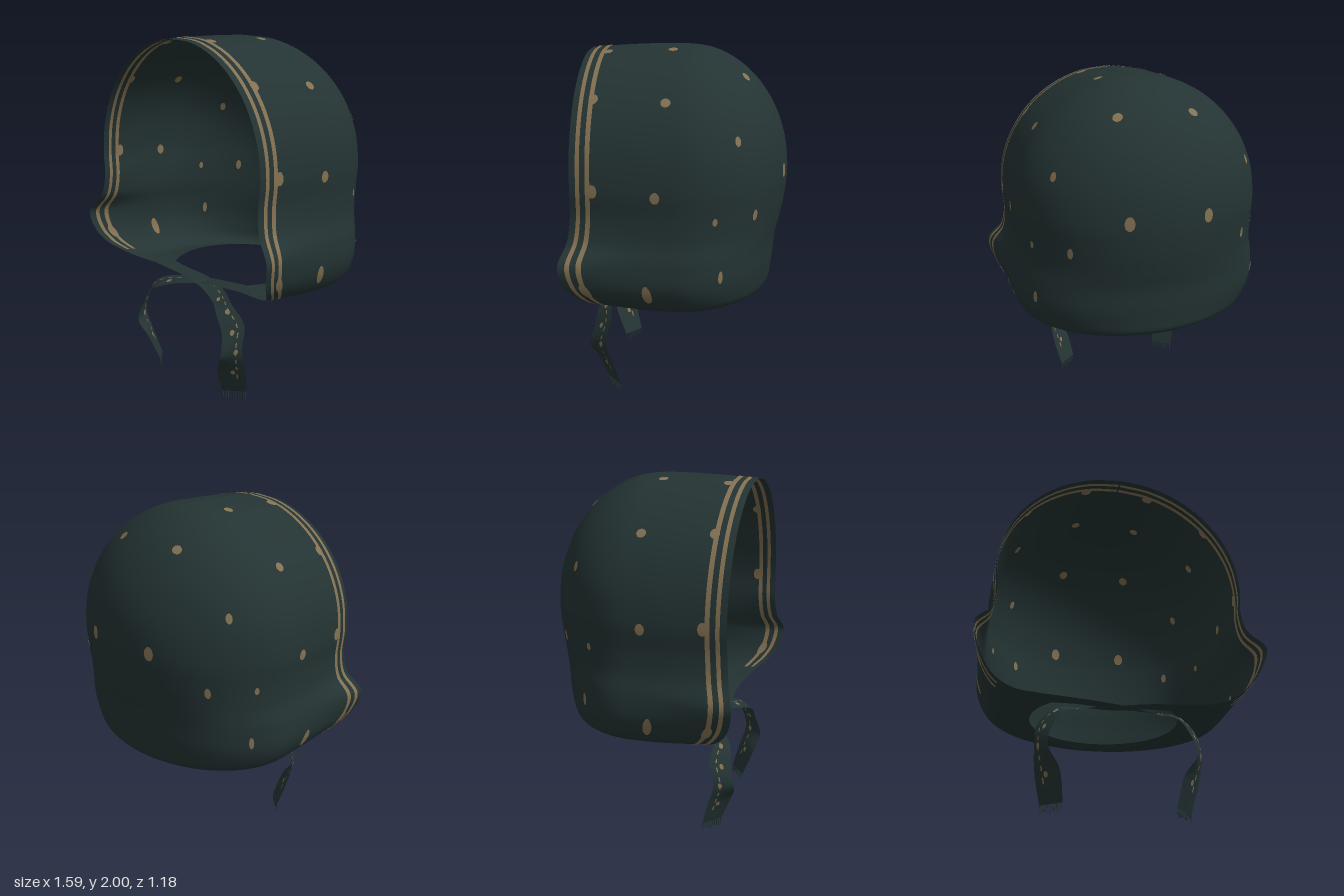
import * as THREE from 'three';
import { mergeVertices, mergeGeometries } from 'three/addons/utils/BufferGeometryUtils.js';

const V = (x, y, z) => new THREE.Vector3(x, y, z);
const lerp = THREE.MathUtils.lerp;

export function createModel() {
  const cloth = new THREE.MeshStandardMaterial({ color: 0x243333, side: THREE.DoubleSide });
  cloth.name = 'dark teal cloth';
  const tan = new THREE.MeshStandardMaterial({ color: 0x837152, side: THREE.DoubleSide });
  tan.name = 'tan print';
  const group = new THREE.Group();
  group.name = 'bonnet';

  const add = (name, geo, mat) => {
    const mesh = new THREE.Mesh(geo, mat);
    mesh.name = name;
    group.add(mesh);
  };

  // Grid of points from a rule f(i/n, j/m)
  const grid = (f, n, m) => {
    const pos = [], idx = [];
    for (let i = 0; i <= n; i++)
      for (let j = 0; j <= m; j++) pos.push(...f(i / n, j / m).toArray());
    for (let i = 0; i < n; i++)
      for (let j = 0; j < m; j++) {
        const a = i * (m + 1) + j, b = a + m + 1;
        idx.push(a, b, b + 1, a, b + 1, a + 1);
      }
    let g = new THREE.BufferGeometry();
    g.setAttribute('position', new THREE.Float32BufferAttribute(pos, 3));
    g.setIndex(idx);
    g = mergeVertices(g, 1e-5);
    g.computeVertexNormals();
    return g;
  };

  // Surface derivatives and a point lifted off the surface
  const slopes = (f, u, v) => {
    const e = 1e-3;
    return [f(u + e, v).sub(f(u - e, v)).divideScalar(2 * e), f(u, v + e).sub(f(u, v - e)).divideScalar(2 * e)];
  };
  const lifted = (f, u, v, off) => {
    const [du, dv] = slopes(f, u, v);
    return f(u, v).addScaledVector(du.cross(dv).normalize(), off);
  };

  // Printed patches and dots, laid on both faces of a cloth surface
  const patch = (f, u0, u1, v0, v1, n, m, off = 0.004) => [off, -off].map(o =>
    grid((a, b) => lifted(f, lerp(u0, u1, a), lerp(v0, v1, b), o), n, m));
  const dot = (f, u, v, ru, rv, off = 0.004) => {
    const [du, dv] = slopes(f, u, v);
    const su = ru / du.length(), sv = rv / dv.length();
    return [off, -off].map(o => grid((r, a) =>
      lifted(f, u + su * r * Math.cos(a * 2 * Math.PI), v + sv * r * Math.sin(a * 2 * Math.PI), o), 2, 14));
  };

  // Hood profile: mid-side (half width, height, back depth) and front edge (half width, height, front depth)
  const side = [], front = [];
  for (let i = 0; i < 7; i++) {
    const a = i * Math.PI / 12, s = Math.sin(a), c = Math.cos(a);
    side.push(V(0.712 * s, 1.3 + 0.7 * c, -0.59 * s));
    front.push(V(0.69 * s, 1.3 + 0.675 * c, 0.535));
  }
  [
    [0.705, 1.15, -0.578, 0.68, 1.15, 0.54],
    [0.71, 1.03, -0.555, 0.705, 1.03, 0.555],
    [0.735, 0.92, -0.53, 0.792, 0.92, 0.59],
    [0.74, 0.8, -0.52, 0.765, 0.81, 0.57],
    [0.715, 0.72, -0.51, 0.72, 0.73, 0.52],
    [0.67, 0.655, -0.5, 0.66, 0.68, 0.46],
    [0.6, 0.622, -0.465, 0.56, 0.645, 0.41],
    [0.5, 0.63, -0.42, 0.4, 0.635, 0.385],
    [0.43, 0.645, -0.39, 0.26, 0.63, 0.36],
  ].forEach(r => {
    side.push(V(r[0], r[1], r[2]));
    front.push(V(r[3], r[4], r[5]));
  });
  const rows = side.length - 1;
  const sideCurve = new THREE.CatmullRomCurve3(side);
  const frontCurve = new THREE.CatmullRomCurve3(front);

  // u: -1 and 1 are the front edges, 0 the middle of the back; v: 0 crown, 1 inner hem
  const hood = (u, v) => {
    const vv = THREE.MathUtils.clamp(v, 0, 1);
    const s = sideCurve.getPoint(vv), a = Math.abs(u), sign = u < 0 ? -1 : 1;
    if (a < 0.6) {
      const t = a / 0.6 * Math.PI / 2;
      return V(sign * s.x * Math.sin(t), s.y, s.z * Math.cos(t));
    }
    const t = (a - 0.6) / 0.4, f = frontCurve.getPoint(vv);
    return V(sign * lerp(s.x, f.x, t * t), lerp(s.y, f.y, t * t), f.z * t);
  };
  add('hood', grid((a, b) => hood(a * 2 - 1, b), 100, 90), cloth);

  // Two stripes following the front edge
  const stripes = [];
  for (const sgn of [-1, 1])
    for (const [d0, d1] of [[0.034, 0.056], [0.085, 0.11]])
      stripes.push(...patch(hood, sgn * (1 - 0.4 * d0 / 0.54), sgn * (1 - 0.4 * d1 / 0.54), 0.002, 12.2 / rows, 1, 80));
  add('frontStripes', mergeGeometries(stripes), tan);

  // Dots on the hood: x, y, z, radius around, radius down; mirrored
  const dots = [];
  [
    [0.21, 1.82, -0.33, 0.027, 0.027], [0.54, 1.53, -0.3, 0.018, 0.027],
    [0.21, 1.32, -0.55, 0.028, 0.04], [0.485, 1.14, -0.4, 0.017, 0.03],
    [0.67, 1.14, -0.21, 0.014, 0.02], [0.66, 0.85, -0.23, 0.014, 0.035],
    [0.55, 1.74, 0.06, 0.026, 0.026], [0.2, 1.98, 0.06, 0.026, 0.026],
    [0.71, 1.27, 0.1, 0.025, 0.03], [0.73, 0.76, 0.14, 0.025, 0.055],
    [0.18, 1.96, 0.42, 0.03, 0.03], [0.51, 1.73, 0.42, 0.025, 0.03],
    [0.7, 1.29, 0.42, 0.025, 0.035], [0.75, 0.78, 0.46, 0.025, 0.05],
  ].forEach(([x, y, z, ru, rv]) => {
    const target = V(x, y, z);
    let best = [0, 0, 9];
    for (let i = 1; i < 100; i++)
      for (let j = 1; j < 80; j++) {
        const d = hood(i / 100, j / 100).distanceTo(target);
        if (d < best[2]) best = [i / 100, j / 100, d];
      }
    for (const s of [-1, 1]) dots.push(...dot(hood, s * best[0], best[1], ru, rv));
  });
  add('hoodDots', mergeGeometries(dots), tan);

  // Chin ties: each starts at one hem corner, crosses the middle and hangs on the other side
  const edgeA = [[-0.4, 0.635, 0.385], [-0.2, 0.622, 0.385], [0, 0.598, 0.39], [0.2, 0.548, 0.43], [0.3, 0.505, 0.485],
    [0.36, 0.42, 0.5], [0.382, 0.3, 0.53], [0.32, 0.2, 0.5], [0.29, 0.045, 0.44]];
  const edgeB = [[-0.42, 0.635, 0.26], [-0.2, 0.628, 0.29], [0, 0.61, 0.29], [0.2, 0.588, 0.34], [0.335, 0.55, 0.4],
    [0.425, 0.46, 0.395], [0.44, 0.33, 0.425], [0.43, 0.2, 0.39], [0.395, 0.045, 0.35]];
  const toCurve = pts => new THREE.CatmullRomCurve3(pts.map(p => V(...p)));
  const curveA = toCurve(edgeA), curveB = toCurve(edgeB);

  for (const sgn of [1, -1]) {
    const label = sgn > 0 ? 'left' : 'right';
    const lift = sgn > 0 ? 0.004 : -0.004;
    const tie = (u, v) => {
      const t = THREE.MathUtils.clamp(u, 0, 1);
      const p = curveA.getPoint(t).lerp(curveB.getPoint(t), v);
      p.x *= sgn;
      p.y += lift * Math.max(0, 1 - Math.abs(p.x) * 5);
      return p;
    };
    add(label + 'Tie', grid(tie, 64, 4), cloth);

    // Small dots and a dashed line on the tie
    const print = [];
    for (const [u, v] of [[0.4, 0.4], [0.52, 0.6], [0.64, 0.45], [0.75, 0.7], [0.89, 0.55]])
      print.push(...dot(tie, u, v, 0.016, 0.013, 0.003));
    for (let u = 0.3; u < 0.94; u += 0.05) print.push(...patch(tie, u, u + 0.025, 0.66, 0.72, 4, 1, 0.003));
    add(label + 'TiePrint', mergeGeometries(print), tan);

    // Frayed end
    const strands = [];
    for (let i = 0; i < 10; i++) {
      const p = tie(1, (i + 0.5) / 10), len = 0.03 + 0.015 * ((i * 7) % 4) / 3;
      strands.push(new THREE.BoxGeometry(0.005, len, 0.005).translate(p.x, 0.045 - len / 2, p.z));
    }
    add(label + 'Fringe', mergeGeometries(strands), cloth);
  }
  return group;
}
